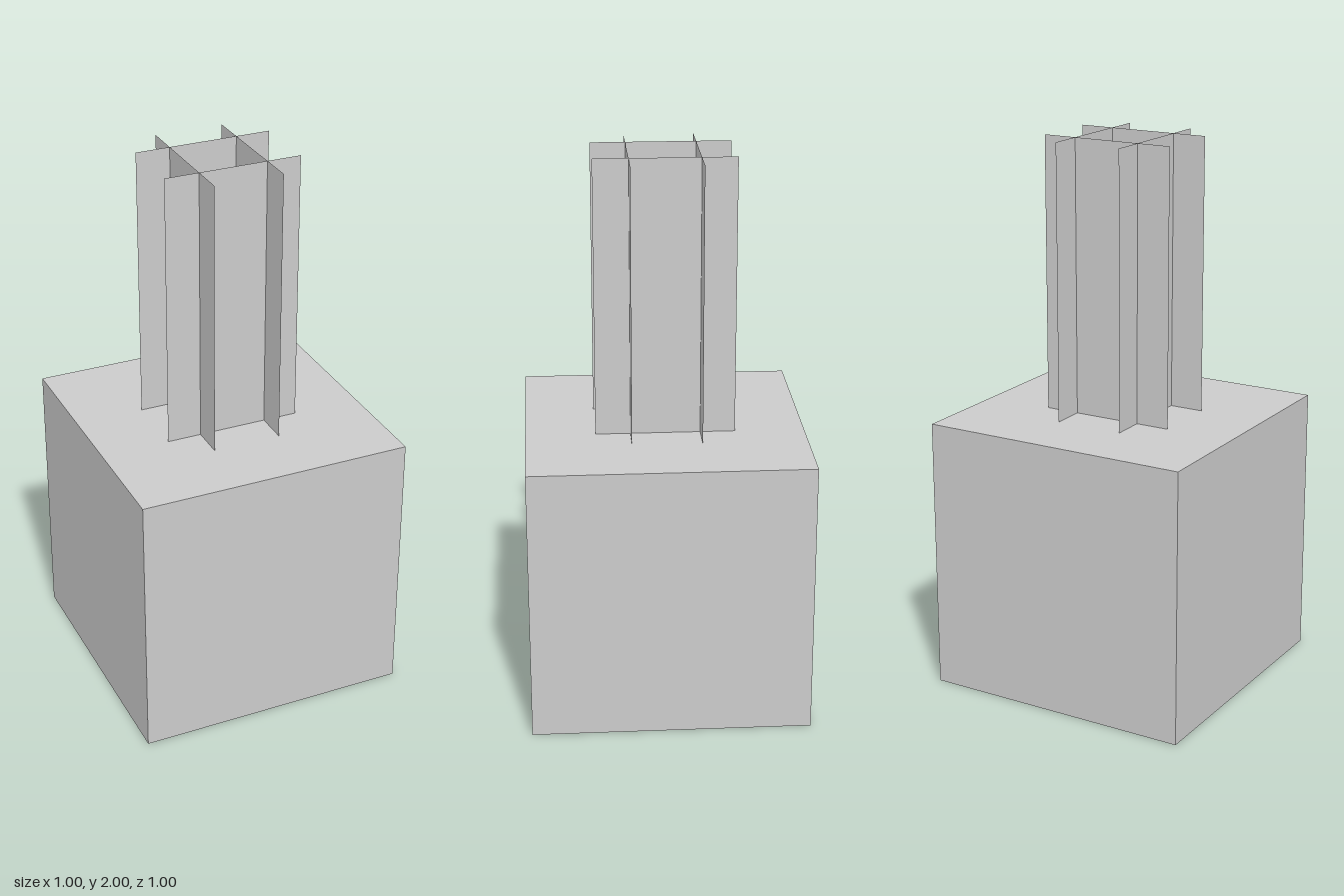
import * as THREE from 'three';

export function createModel() {
  const model = new THREE.Group();

  // Solid cube base
  const base = new THREE.Mesh(
    new THREE.BoxGeometry(1, 1, 1),
    new THREE.MeshStandardMaterial({ color: 0xcccccc, flatShading: true })
  );
  base.name = 'baseBlock';
  base.position.y = 0.5;
  model.add(base);

  // Four thin upright sheets crossing in a hash pattern
  const sheets = new THREE.Group();
  sheets.name = 'crossedSheets';
  const sheetGeometry = new THREE.PlaneGeometry(0.5, 1);
  const sheetMaterial = new THREE.MeshStandardMaterial({
    color: 0xcccccc, flatShading: true, side: THREE.DoubleSide
  });
  ['front', 'left', 'back', 'right'].forEach((side, i) => {
    const angle = (i * Math.PI) / 2;
    const sheet = new THREE.Mesh(sheetGeometry, sheetMaterial);
    sheet.name = side + 'Sheet';
    sheet.rotation.y = angle;
    sheet.position.set(0.125 * Math.sin(angle), 1.5, 0.125 * Math.cos(angle));
    sheets.add(sheet);
  });
  model.add(sheets);

  return model;
}
